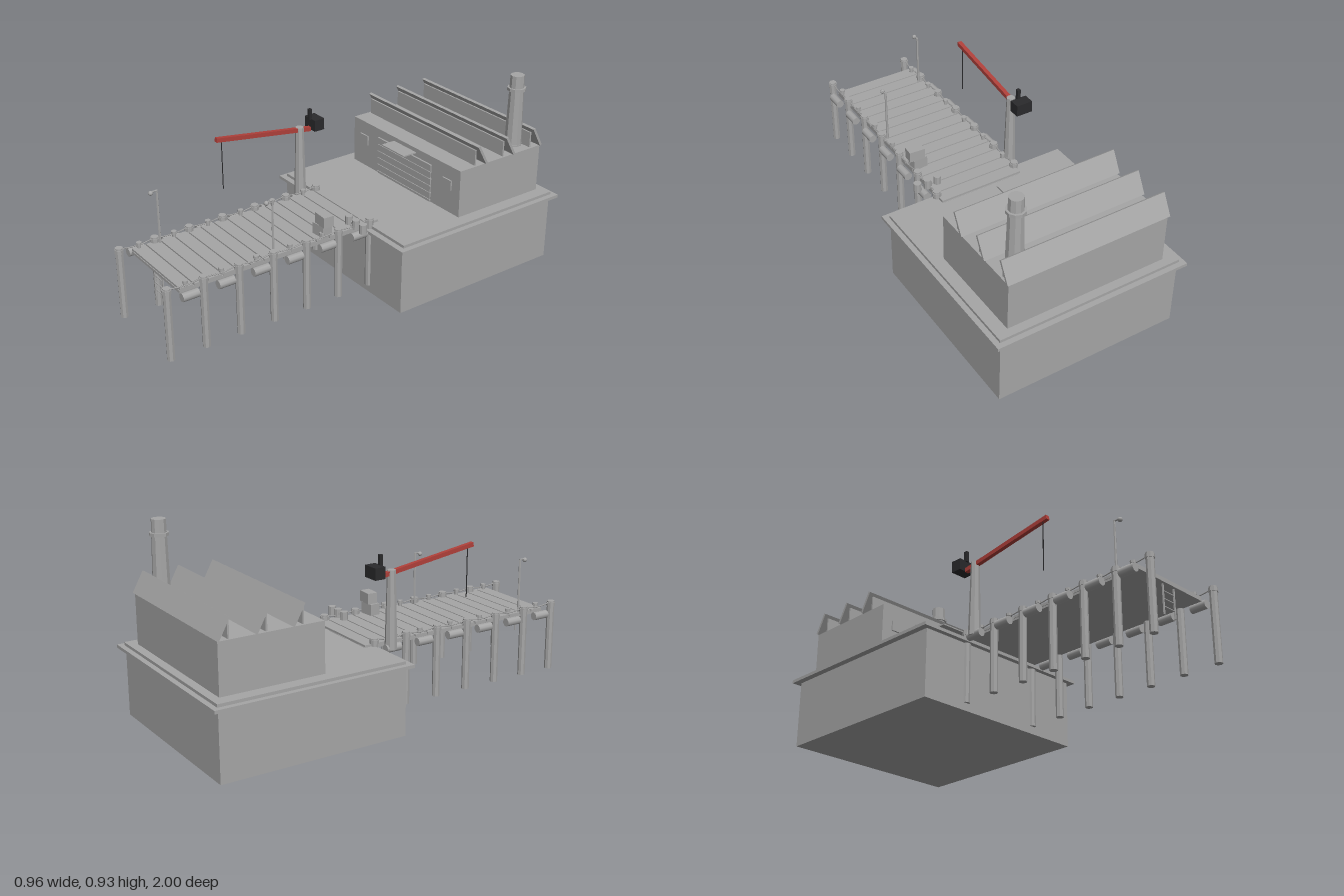
import * as THREE from 'three';

const mat = (name, color) => {
  const m = new THREE.MeshStandardMaterial({ color });
  m.name = name;
  return m;
};

export function createModel() {
  const grey = mat('concrete grey', 0xa6a6a6);
  const red = mat('boom red', 0xb0403a);
  const black = mat('iron black', 0x2a2a2c);
  const model = new THREE.Group();
  model.name = 'harbourWarehouse';

  const group = (name) => {
    const g = new THREE.Group();
    g.name = name;
    model.add(g);
    return g;
  };
  const add = (parent, name, geometry, material, x, y, z) => {
    const mesh = new THREE.Mesh(geometry, material);
    mesh.name = name;
    mesh.position.set(x, y, z);
    parent.add(mesh);
    return mesh;
  };
  // Box given by its extents
  const box = (parent, name, x0, x1, y0, y1, z0, z1, material = grey) =>
    add(parent, name, new THREE.BoxGeometry(x1 - x0, y1 - y0, z1 - z0), material,
      (x0 + x1) / 2, (y0 + y1) / 2, (z0 + z1) / 2);
  // Upright faceted cylinder standing on y0
  const post = (parent, name, x, z, y0, y1, rBottom, rTop = rBottom, sides = 8, material = grey) => {
    const g = new THREE.CylinderGeometry(rTop, rBottom, y1 - y0, sides).toNonIndexed();
    g.computeVertexNormals();
    return add(parent, name, g, material, x, (y0 + y1) / 2, z);
  };
  // Round bar between two points
  const bar = (parent, name, a, b, r, material = grey, sides = 6) => {
    const p = new THREE.Vector3(...a), q = new THREE.Vector3(...b);
    const mid = p.clone().add(q).multiplyScalar(0.5);
    const mesh = add(parent, name, new THREE.CylinderGeometry(r, r, p.distanceTo(q), sides), material, mid.x, mid.y, mid.z);
    mesh.quaternion.setFromUnitVectors(new THREE.Vector3(0, 1, 0), q.sub(p).normalize());
    return mesh;
  };

  // Quay block with projecting coping
  const quay = group('quay');
  box(quay, 'quayBlock', -0.45, 0.45, 0, 0.322, -0.97, -0.064);
  box(quay, 'quayCoping', -0.48, 0.48, 0.32, 0.335, -1, -0.04);
  box(quay, 'quayPaving', -0.455, 0.455, 0.334, 0.349, -0.975, -0.068);

  // Warehouse with shutter, canopy and windows
  const house = group('warehouse');
  box(house, 'walls', -0.395, 0.395, 0.348, 0.582, -0.935, -0.44);
  box(house, 'shutter', -0.195, 0.195, 0.348, 0.54, -0.441, -0.435);
  for (let i = 0; i < 6; i++) {
    const y = 0.36 + i * 0.0355;
    box(house, 'shutterRib', -0.198, 0.198, y - 0.003, y + 0.003, -0.441, -0.431);
  }
  box(house, 'canopy', -0.083, 0.081, 0.556, 0.562, -0.44, -0.365);
  for (const s of [-1, 1]) {
    box(house, 'window', s * 0.31 - 0.03, s * 0.31 + 0.03, 0.465, 0.514, -0.441, -0.433);
  }

  // Sawtooth roof lights: upright pane with a leaning plate behind
  for (let i = 0; i < 3; i++) {
    const z = -0.567 - i * 0.172;
    const plate = add(house, 'roofPlate', new THREE.BoxGeometry(0.805, 0.108, 0.012), grey, 0, 0.632, z);
    plate.rotation.x = 0.5;
    box(house, 'roofPane', -0.385, 0.385, 0.58, 0.657, z + 0.026, z + 0.034);
  }

  // Chimney
  const chimney = group('chimney');
  post(chimney, 'chimneyFoot', 0.308, -0.845, 0.575, 0.588, 0.042, 0.042, 10);
  post(chimney, 'chimneyShaft', 0.308, -0.845, 0.58, 0.93, 0.041, 0.033, 10);
  post(chimney, 'chimneyCollar', 0.308, -0.845, 0.855, 0.87, 0.044, 0.044, 10);

  // Pier deck with separate planks
  const pier = group('pier');
  box(pier, 'deckSlab', -0.208, 0.208, 0.338, 0.35, -0.12, 0.92);
  const planks = 15, pitch = 1.04 / planks;
  for (let i = 0; i < planks; i++) {
    const z = -0.12 + i * pitch;
    box(pier, 'deckPlank', -0.211, 0.208, 0.348, 0.36, z + 0.003, z + pitch - 0.003);
  }

  // Piles, bollards, fenders and rope rails along both edges
  for (const s of [-1, 1]) {
    for (let i = 0; i < 7; i++) {
      const z = 0.98 - i * 0.1745;
      post(pier, 'pile', s * 0.209, z, 0.037, 0.385, 0.018);
      post(pier, 'pileBand', s * 0.209, z, 0.36, 0.378, 0.021);
      if (i === 6) continue;
      const zm = z - 0.0925;
      post(pier, 'bollardStem', s * 0.2, zm, 0.355, 0.377, 0.009);
      post(pier, 'bollardHead', s * 0.2, zm, 0.375, 0.387, 0.013);
      bar(pier, 'fender', [s * 0.235, 0.333, zm - 0.039], [s * 0.235, 0.333, zm + 0.039], 0.02, grey, 10);
      const rope = new THREE.QuadraticBezierCurve3(
        new THREE.Vector3(s * 0.209, 0.38, z),
        new THREE.Vector3(s * 0.209, 0.355, z - 0.087),
        new THREE.Vector3(s * 0.209, 0.38, z - 0.1745));
      add(pier, 'rope', new THREE.TubeGeometry(rope, 6, 0.003, 5), grey, 0, 0, 0);
    }
  }

  // Ladder at the pier end
  const ladder = group('ladder');
  for (const s of [-1, 1]) box(ladder, 'ladderRail', s * 0.036 - 0.003, s * 0.036 + 0.003, 0.2, 0.345, 0.902, 0.908);
  for (let i = 0; i < 4; i++) {
    const y = 0.237 + i * 0.035;
    bar(ladder, 'ladderRung', [-0.036, y, 0.905], [0.036, y, 0.905], 0.003);
  }

  // Lamp posts
  for (const [x, z] of [[-0.187, 0.79], [0.185, 0.44]]) {
    const lamp = group('lampPost');
    post(lamp, 'lampPole', x, z, 0.355, 0.618, 0.006, 0.005, 6);
    bar(lamp, 'lampArm', [x, 0.615, z], [x, 0.615, z + 0.03], 0.004);
    add(lamp, 'lampGlobe', new THREE.SphereGeometry(0.011, 12, 8), grey, x, 0.61, z + 0.03);
  }

  // Cargo
  const cargo = group('cargo');
  box(cargo, 'lowerCrate', 0.135, 0.208, 0.36, 0.415, 0.145, 0.195).rotation.y = 0.08;
  box(cargo, 'upperCrate', 0.147, 0.224, 0.415, 0.467, 0.143, 0.193).rotation.y = -0.06;
  for (const x of [0.16, 0.212, 0.265]) post(cargo, 'barrel', x, 0.012, 0.355, 0.4, 0.018, 0.018, 10);

  // Crane
  const crane = group('crane');
  const cx = -0.233;
  post(crane, 'craneColumn', cx, 0.007, 0.328, 0.695, 0.029, 0.02, 8);
  const boom = add(crane, 'craneBoom', new THREE.BoxGeometry(0.02, 0.02, 0.515), red, cx, 0.711, 0.203);
  boom.rotation.x = -Math.atan2(0.074, 0.505);
  box(crane, 'counterweight', cx - 0.04, cx + 0.04, 0.67, 0.725, -0.106, -0.052, black);
  box(crane, 'counterweightPost', cx - 0.008, cx + 0.008, 0.72, 0.772, -0.06, -0.044, black);
  bar(crane, 'hoistCable', [cx, 0.74, 0.43], [cx, 0.5, 0.43], 0.0025, black);

  return model;
}
